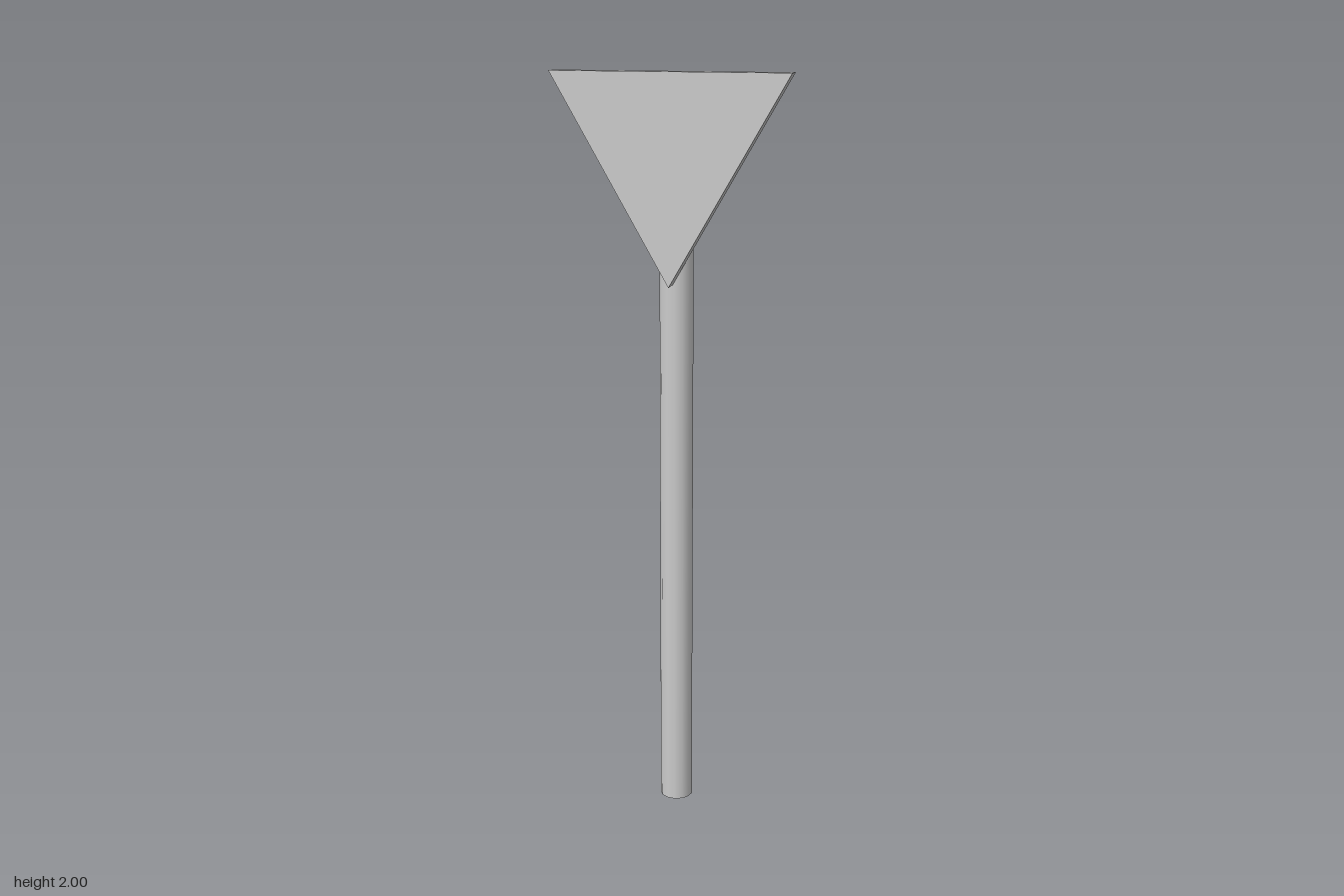
import * as THREE from 'three';

export function createModel() {
  const group = new THREE.Group();
  const material = new THREE.MeshStandardMaterial({ color: 0xcccccc });

  // Round post, 13 sides with one corner towards +x
  const postHeight = 1.805;
  const post = new THREE.Mesh(
    new THREE.CylinderGeometry(0.0445, 0.0445, postHeight, 13, 1, false, Math.PI / 2),
    material
  );
  post.name = 'post';
  post.position.set(0, postHeight / 2, -0.022);
  group.add(post);

  // Equilateral triangular plate, point down, fixed to the front of the post
  const half = 0.308;
  const plateHeight = half * Math.sqrt(3);
  const outline = new THREE.Shape([
    new THREE.Vector2(0, -plateHeight),
    new THREE.Vector2(half, 0),
    new THREE.Vector2(-half, 0),
  ]);
  const plate = new THREE.Mesh(
    new THREE.ExtrudeGeometry(outline, { depth: 0.044, bevelEnabled: false }),
    material
  );
  plate.name = 'signPlate';
  plate.position.set(0, 2, 0.022);
  group.add(plate);

  return group;
}
